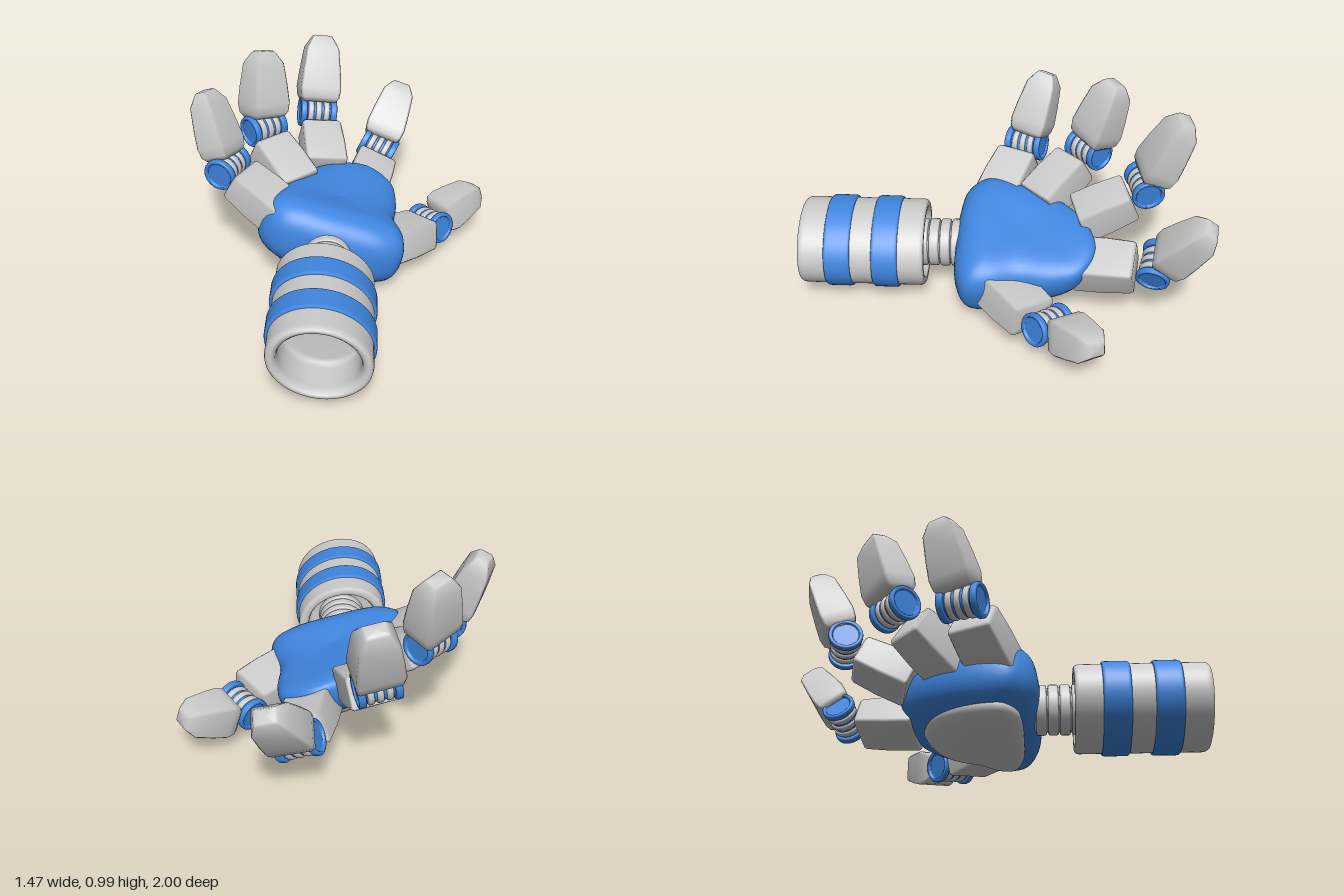
import * as THREE from 'three';

const grey = new THREE.MeshStandardMaterial({ color: 0xcccccc });
const blue = new THREE.MeshStandardMaterial({ color: 0x3f86e0 });
const V = (x, y, z) => new THREE.Vector3(x, y, z);

function add(parent, name, geometry, material) {
  const mesh = new THREE.Mesh(geometry, material);
  mesh.name = name;
  parent.add(mesh);
  return mesh;
}

// Skin through rings of equal point count; rings run from +z towards +x, stacked upward
function loft(rings) {
  const n = rings[0].length, index = [];
  for (let j = 0; j < rings.length - 1; j++) {
    for (let i = 0; i < n; i++) {
      const a = j * n + i, b = j * n + (i + 1) % n;
      index.push(a, b, a + n, b, b + n, a + n);
    }
  }
  const g = new THREE.BufferGeometry().setFromPoints(rings.flat());
  g.setIndex(index);
  g.computeVertexNormals();
  return g;
}

// Turned part along z, profile given as [radius, z]
function turned(profile, segments = 48) {
  const g = new THREE.LatheGeometry(profile.map(([r, z]) => new THREE.Vector2(r, z)), segments);
  return g.rotateX(Math.PI / 2);
}

// Ring with softened outer edges, closed to the axis
const drum = (r, z0, z1, e = 0.008) => [[0, z0], [r - e, z0], [r - e * 0.3, z0 + e * 0.3], [r, z0 + e],
  [r, z1 - e], [r - e * 0.3, z1 - e * 0.3], [r - e, z1], [0, z1]];

// Soft-edged block from a to b; sections are [t, width, depth], width lies along axis
function block(a, b, axis, sections) {
  const y = b.clone().sub(a), length = y.length();
  y.normalize();
  const x = axis.clone().addScaledVector(y, -axis.dot(y)).normalize();
  const z = x.clone().cross(y);
  const rings = sections.map(([t, w, d]) => {
    const p = w / 2, q = d / 2, c = Math.min(w, d) * 0.07;
    return [[-p + c, q], [p - c, q], [p, q - c], [p, -q + c], [p - c, -q], [-p + c, -q], [-p, -q + c], [-p, q - c]]
      .map(([u, v]) => a.clone().addScaledVector(y, t * length).addScaledVector(x, u).addScaledVector(z, v));
  });
  return loft(rings);
}

// Knuckle: striped barrel with dished blue ends
function knuckle(center, axis) {
  const g = new THREE.Group();
  g.name = 'knuckle';
  add(g, 'knuckleCore', turned(drum(0.066, -0.07, 0.07), 32), blue);
  for (const z of [-0.042, 0, 0.042]) add(g, 'knuckleRing', turned(drum(0.074, z - 0.015, z + 0.015), 32), grey);
  for (const turn of [0, Math.PI]) {
    const cap = add(g, 'knuckleCap', turned([[0, 0.064], [0.074, 0.064], [0.079, 0.068], [0.081, 0.073], [0.081, 0.09],
      [0.079, 0.095], [0.075, 0.097], [0.067, 0.097], [0.064, 0.095], [0.062, 0.088], [0.06, 0.086],
      [0.057, 0.086], [0, 0.086]], 32), blue);
    cap.rotation.y = turn;
  }
  g.position.copy(center);
  g.quaternion.setFromUnitVectors(V(0, 0, 1), axis);
  return g;
}

// Finger: base block, knuckle and tapered tip
function finger({ name, root, end, joint, axis, tip, w, d, baseW = w, tipRoot = joint }) {
  const g = new THREE.Group();
  g.name = name;
  axis.normalize();
  add(g, 'fingerBase', block(root, end, axis, [[0, 0, 0], [0, baseW * 0.94, d * 0.92], [0.04, baseW, d], [0.5, baseW, d],
    [0.95, baseW * 0.95, d * 0.9], [1, baseW * 0.88, d * 0.82], [1, 0, 0]]), grey);
  g.add(knuckle(joint, axis));
  add(g, 'fingerTip', block(tipRoot, tip, axis, [[0.14, 0, 0], [0.14, w * 0.8, d * 0.72], [0.2, w * 0.94, d * 0.93],
    [0.32, w, d], [0.55, w * 0.92, d * 0.92], [0.84, w * 0.78, d * 0.77], [0.97, w * 0.5, d * 0.45],
    [1, w * 0.4, d * 0.35], [1, 0, 0]]), grey);
  return g;
}

// Palm outline in x and z, about the palm's own centre
const outline = new THREE.CatmullRomCurve3([
  [0.05, 0.23], [0.25, 0.22], [0.345, 0.17], [0.355, 0.07], [0.31, -0.08], [0.315, -0.25], [0.28, -0.38], [0.15, -0.455],
  [0.02, -0.44], [-0.14, -0.35], [-0.28, -0.19], [-0.35, -0.03], [-0.36, 0.1], [-0.28, 0.19], [-0.15, 0.22],
].map(([x, z]) => V(x, 0, z)), true).getPoints(80).slice(0, 80);

// Rounded pad on that outline; its top thins and it lifts towards the fingers
function pad(scale, bottom, top, dip) {
  const rings = [], steps = 28, cz = -0.08;
  for (let j = 0; j <= steps; j++) {
    const t = (j / steps - 0.5) * Math.PI;
    const s = Math.pow(Math.max(0, Math.cos(t)), 0.5) * scale;
    const h = Math.sign(t) * Math.pow(Math.abs(Math.sin(t)), 0.8);
    rings.push(outline.map((p) => {
      const x = p.x * s, z = cz + (p.z - cz) * s;
      const u = Math.max(0, 0.08 - z) / 0.53;
      const level = (top + bottom) / 2 + h * (top - bottom) / 2;
      const y = level * (1 - (level > 0 ? 0.55 : 0.15) * u) + 0.125 * u * u;
      return V(x, y - (t > 0 ? dip * (1 - s / scale) : 0), z);
    }));
  }
  return loft(rings);
}

export function createModel() {
  const model = new THREE.Group();
  model.name = 'roboticHand';

  // Oval forearm, hollow at both ends, with two raised bands
  const arm = new THREE.Group();
  arm.name = 'forearm';
  arm.position.set(-0.063, 0.245, 0);
  arm.rotation.z = -0.32;
  const sleeve = new THREE.Group();
  sleeve.name = 'sleeve';
  sleeve.scale.set(0.232, 0.191, 1);
  arm.add(sleeve);
  add(sleeve, 'forearmShell', turned([[0, 0.46], [0.7, 0.46], [0.76, 0.44], [0.77, 0.4], [0.8, 0.385], [0.84, 0.38],
    [0.94, 0.38], [0.98, 0.387], [1, 0.4], [1, 0.97], [0.985, 0.988], [0.95, 0.998], [0.9, 1], [0.85, 0.997],
    [0.8, 0.985], [0.775, 0.96], [0.76, 0.85], [0.72, 0.82], [0.64, 0.81], [0, 0.81]], 64), grey);
  for (const z of [0.507, 0.74]) {
    add(sleeve, 'forearmBand', turned([[0.98, z], [1.03, z], [1.05, z + 0.005], [1.058, z + 0.015],
      [1.058, z + 0.112], [1.05, z + 0.122], [1.03, z + 0.127], [0.98, z + 0.127]], 64), blue);
  }
  model.add(arm);

  // Ribbed wrist
  add(arm, 'wristCore', turned(drum(0.105, 0.1, 0.5), 40), grey);
  for (let i = 0; i < 5; i++) {
    const z = 0.205 + i * 0.055;
    add(arm, 'wristRib', turned(drum(0.119, z, z + 0.049, 0.009), 40), grey);
  }

  // Palm with a plate on the back of the hand
  const palm = new THREE.Group();
  palm.name = 'palm';
  palm.position.set(-0.05, 0.25, 0);
  palm.rotation.z = -0.29;
  add(palm, 'palmBody', pad(1, -0.175, 0.2, 0.02), blue);
  const plate = add(palm, 'backPlate', pad(0.69, -0.215, -0.08, 0), grey);
  plate.position.z = 0.015;
  model.add(palm);

  // Fingers and thumb
  const fingers = [
    { name: 'littleFinger', root: V(-0.28, 0.36, 0.04), end: V(-0.505, 0.505, -0.07), joint: V(-0.565, 0.55, -0.105),
      axis: V(0.35, 0.05, -0.93), tip: V(-0.67, 0.91, -0.205), w: 0.195, d: 0.165, baseW: 0.225 },
    { name: 'ringFinger', root: V(-0.23, 0.395, -0.18), end: V(-0.39, 0.54, -0.36), joint: V(-0.415, 0.605, -0.425),
      axis: V(0.75, 0.0, -0.66), tip: V(-0.415, 0.98, -0.54), w: 0.22, d: 0.175 },
    { name: 'middleFinger', root: V(-0.1, 0.385, -0.38), end: V(-0.14, 0.495, -0.63), joint: V(-0.155, 0.56, -0.695),
      axis: V(0.96, -0.15, -0.18), tip: V(-0.13, 0.935, -0.865), w: 0.22, d: 0.17 },
    { name: 'indexFinger', root: V(0.1, 0.255, -0.36), end: V(0.16, 0.28, -0.65), joint: V(0.18, 0.318, -0.745),
      axis: V(0.88, -0.4, 0.25), tip: V(0.31, 0.61, -0.965), w: 0.215, d: 0.17, baseW: 0.225 },
    { name: 'thumb', root: V(0.2, 0.185, 0.01), end: V(0.415, 0.16, -0.165), joint: V(0.45, 0.15, -0.235),
      axis: V(0.66, 0.15, 0.73), tip: V(0.71, 0.23, -0.45), w: 0.195, d: 0.17, baseW: 0.24, tipRoot: V(0.465, 0.15, -0.275) },
  ];
  for (const f of fingers) model.add(finger(f));

  return model;
}
